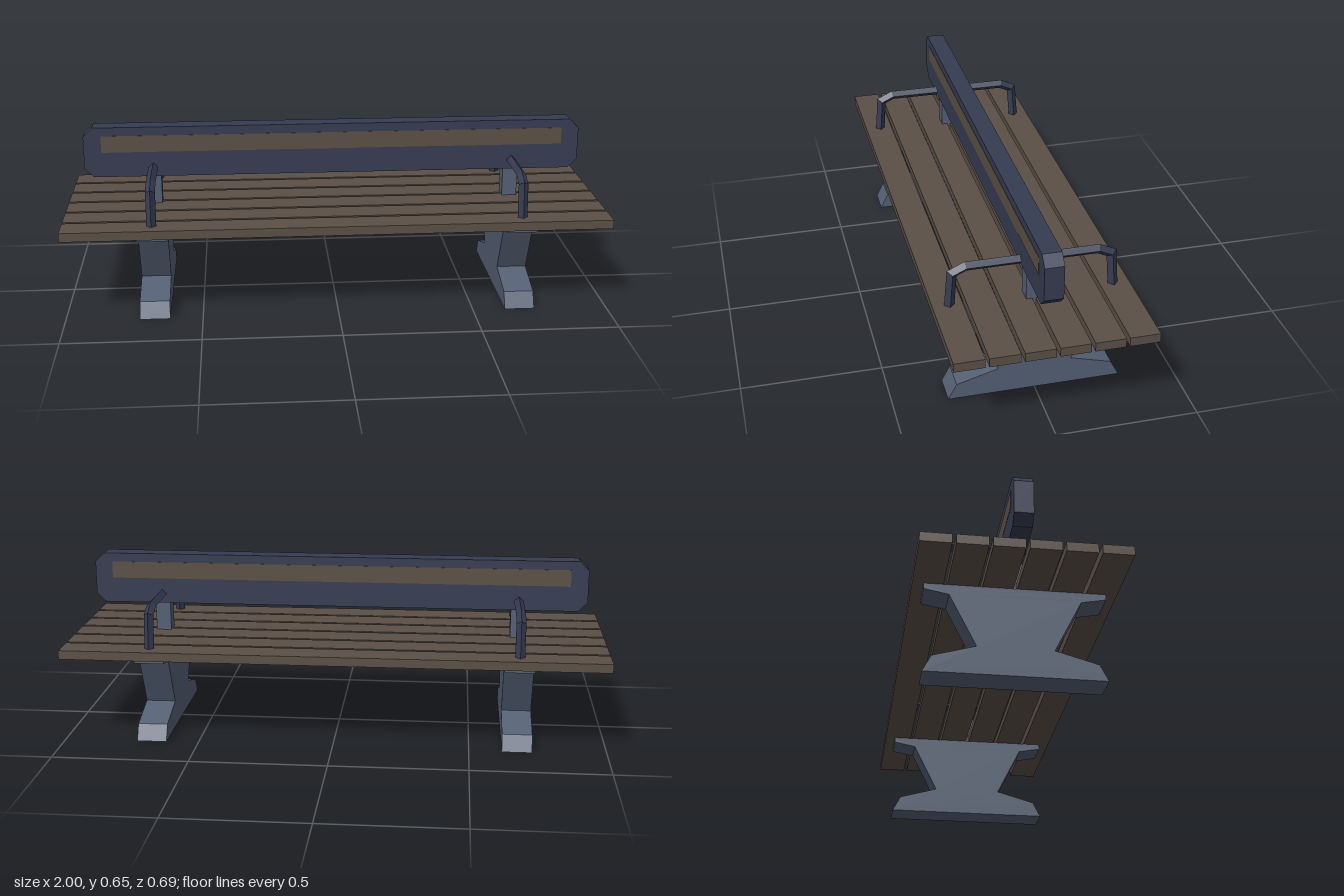
import * as THREE from 'three';

const concrete = new THREE.MeshStandardMaterial({ color: 0x556074 });
concrete.name = 'blue grey concrete';
const metal = new THREE.MeshStandardMaterial({ color: 0x363c52 });
metal.name = 'dark navy metal';
const wood = new THREE.MeshStandardMaterial({ color: 0x5b5046 });
wood.name = 'brown wood';

function add(parent, name, geometry, material, x = 0, y = 0, z = 0) {
  const mesh = new THREE.Mesh(geometry, material);
  mesh.name = name;
  mesh.position.set(x, y, z);
  parent.add(mesh);
  return mesh;
}

// Extrudes an outline, centred on its depth
function slab(points, depth) {
  const shape = new THREE.Shape(points.map(([a, b]) => new THREE.Vector2(a, b)));
  return new THREE.ExtrudeGeometry(shape, { depth, bevelEnabled: false }).translate(0, 0, -depth / 2);
}

// Diamond-section bar swept along a [z, y] path with mitred bends
function diamondBar(path, r) {
  const pts = path.map(([z, y]) => new THREE.Vector2(z, y));
  const dirs = pts.slice(1).map((p, i) => p.clone().sub(pts[i]).normalize());
  const rings = pts.map((p, i) => {
    const a = dirs[Math.max(i - 1, 0)], b = dirs[Math.min(i, dirs.length - 1)];
    const t = a.clone().add(b).normalize();
    const k = r / t.dot(a);
    const nz = -t.y * k, ny = t.x * k;
    return [[0, p.y + ny, p.x + nz], [r, p.y, p.x], [0, p.y - ny, p.x - nz], [-r, p.y, p.x]];
  });
  const pos = [];
  const quad = (a, b, c, d) => pos.push(...a, ...b, ...c, ...a, ...c, ...d);
  for (let i = 0; i < rings.length - 1; i++) {
    for (let j = 0; j < 4; j++) {
      const k = (j + 1) % 4;
      quad(rings[i][j], rings[i + 1][j], rings[i + 1][k], rings[i][k]);
    }
  }
  const end = rings[rings.length - 1];
  quad(rings[0][0], rings[0][1], rings[0][2], rings[0][3]);
  quad(end[3], end[2], end[1], end[0]);
  const g = new THREE.BufferGeometry();
  g.setAttribute('position', new THREE.Float32BufferAttribute(pos, 3));
  g.computeVertexNormals();
  return g;
}

export function createModel() {
  const bench = new THREE.Group();
  bench.name = 'bench';

  // Six seat planks
  const plank = new THREE.BoxGeometry(2, 0.033, 0.105);
  for (let i = 0; i < 6; i++) add(bench, 'seatPlank', plank, wood, 0, 0.3385, (i - 2.5) * 0.1175);

  // Waisted pedestal profile, mirrored front to back
  const half = [[0.308, 0], [0.278, 0.058], [0.13, 0.1], [0.223, 0.286], [0.308, 0.302], [0.308, 0.322]];
  const outline = [...half, ...half.map(([z, y]) => [-z, y]).reverse()];
  const legGeometry = slab(outline, 0.11).rotateY(Math.PI / 2);
  const postGeometry = new THREE.BoxGeometry(0.056, 0.15, 0.056);
  const armGeometry = diamondBar([[0.289, 0.34], [0.278, 0.478], [0.231, 0.5], [0.043, 0.5]], 0.0178);

  for (const side of [-1, 1]) {
    const x = side * 0.675;
    add(bench, 'pedestalLeg', legGeometry, concrete, x);
    add(bench, 'backrestPost', postGeometry, concrete, x, 0.395);
    // Armrests on both sides of the backrest
    for (const turn of [0, Math.PI]) add(bench, 'armrest', armGeometry, metal, x).rotation.y = turn;
  }

  // Backrest beam with chamfered corners
  const w = 0.93, lo = 0.463, hi = 0.653, c = 0.034;
  const beam = [[-w + c, lo], [w - c, lo], [w, lo + c], [w, hi - c], [w - c, hi], [-w + c, hi], [-w, hi - c], [-w, lo + c]];
  add(bench, 'backrest', slab(beam, 0.067), metal);

  // Wooden strips on both faces of the backrest
  const strip = new THREE.BoxGeometry(1.73, 0.063, 0.002);
  for (const face of [-1, 1]) add(bench, 'backrestStrip', strip, wood, 0, 0.589, face * 0.0335);

  return bench;
}
